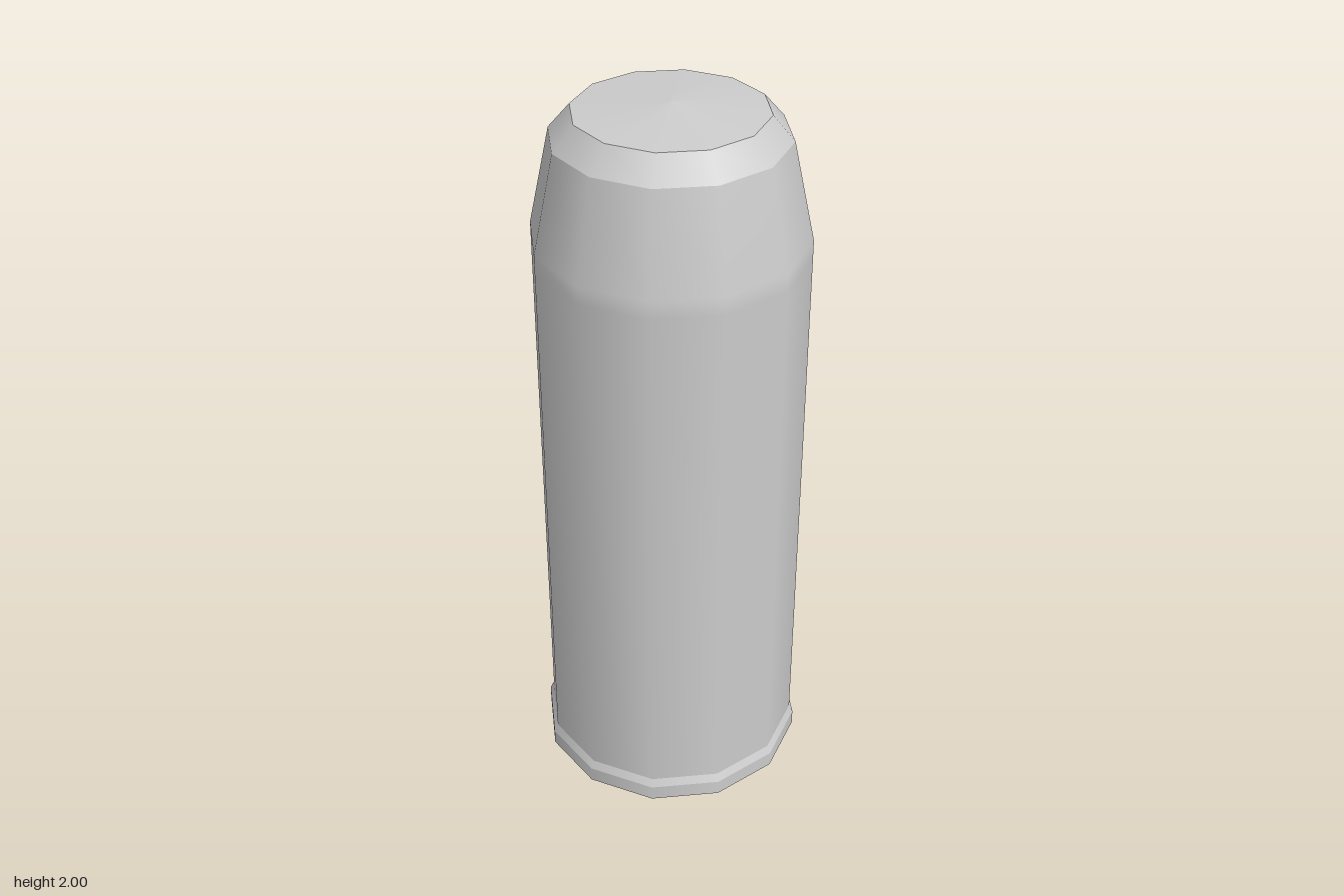
import * as THREE from 'three';

const SIDES = 12;

export function createModel() {
  const group = new THREE.Group();
  group.name = 'casing';
  const grey = new THREE.MeshStandardMaterial({ color: 0xcccccc, side: THREE.DoubleSide });
  grey.name = 'light grey';

  // Each band is a separate lathe, so the edges between bands stay sharp.
  const band = (name, ...profile) => {
    const points = profile.map(([r, y]) => new THREE.Vector2(r, y));
    const mesh = new THREE.Mesh(new THREE.LatheGeometry(points, SIDES), grey);
    mesh.name = name;
    group.add(mesh);
  };

  // Base rim, open underneath
  band('baseRim', [0.374, 0], [0.374, 0.045]);
  band('rimBevel', [0.374, 0.045], [0.363, 0.068]);
  // Straight wall easing into the tapered shoulder
  band('wall', [0.363, 0.068], [0.363, 1.6], [0.363, 1.65], [0.306, 1.915]);
  // Top chamfer and shallow domed cap
  band('topChamfer', [0.306, 1.915], [0.25, 1.98]);
  band('cap', [0.25, 1.98], [0, 2]);

  return group;
}
